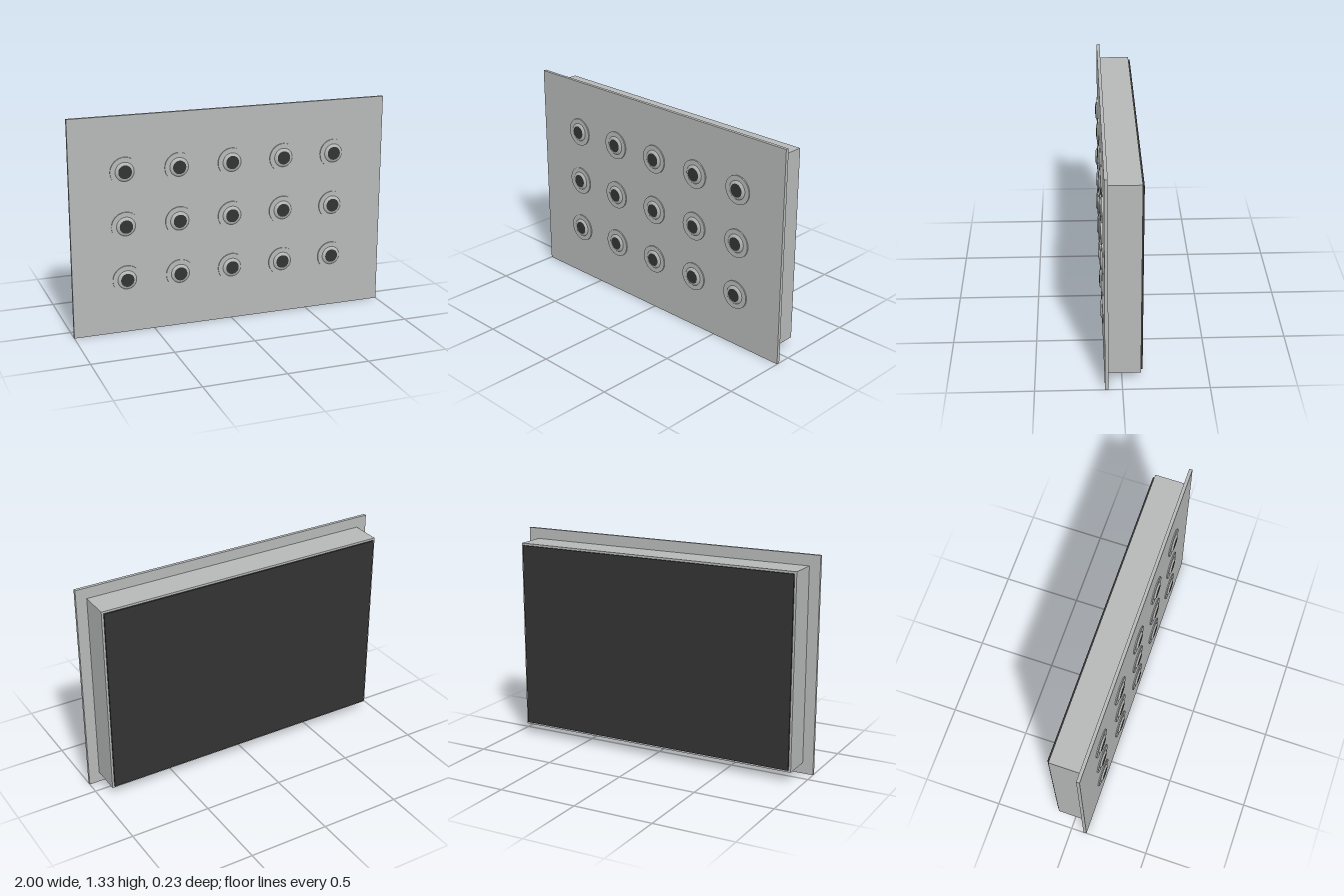
import * as THREE from 'three';

export function createModel() {
  const model = new THREE.Group();
  const grey = new THREE.MeshStandardMaterial({ name: 'brushed grey', color: 0xb6b9b8 });
  const dark = new THREE.MeshStandardMaterial({ name: 'dark grey', color: 0x333333 });

  const add = (parent, name, geometry, material) => {
    const mesh = new THREE.Mesh(geometry, material);
    mesh.name = name;
    parent.add(mesh);
    return mesh;
  };
  const slab = (name, w, h, zBack, zFront, material) =>
    add(model, name, new THREE.BoxGeometry(w, h, zFront - zBack), material)
      .position.set(0, 0.667, (zBack + zFront) / 2);

  // Front plate, housing behind it and the dark back cover
  slab('frontPlate', 2, 1.334, 0.08, 0.1, grey);
  slab('housing', 1.866, 1.2, -0.107, 0.08, grey);
  slab('backCover', 1.84, 1.174, -0.117, -0.107, dark);

  // Button parts, with their axis turned from y to +z
  const lathe = (points) => new THREE.LatheGeometry(
    points.map(([r, y]) => new THREE.Vector2(r, y)), 32).rotateX(Math.PI / 2);
  const rim = new THREE.CylinderGeometry(0.088, 0.088, 0.007, 32)
    .rotateX(Math.PI / 2).translate(0, 0, 0.0035);
  const collar = lathe([[0.058, 0.007], [0.055, 0.0105], [0.049, 0.014], [0.041, 0.0165]]);
  const cap = new THREE.CircleGeometry(0.041, 32).translate(0, 0, 0.0165);

  // Three rows of five buttons
  for (let row = 0; row < 3; row++) {
    for (let col = 0; col < 5; col++) {
      const button = new THREE.Group();
      button.name = 'button';
      button.position.set((col - 2) / 3, (row + 1) / 3, 0.1);
      add(button, 'buttonRim', rim, grey);
      add(button, 'buttonCollar', collar, grey);
      add(button, 'buttonCap', cap, dark);
      model.add(button);
    }
  }
  return model;
}
